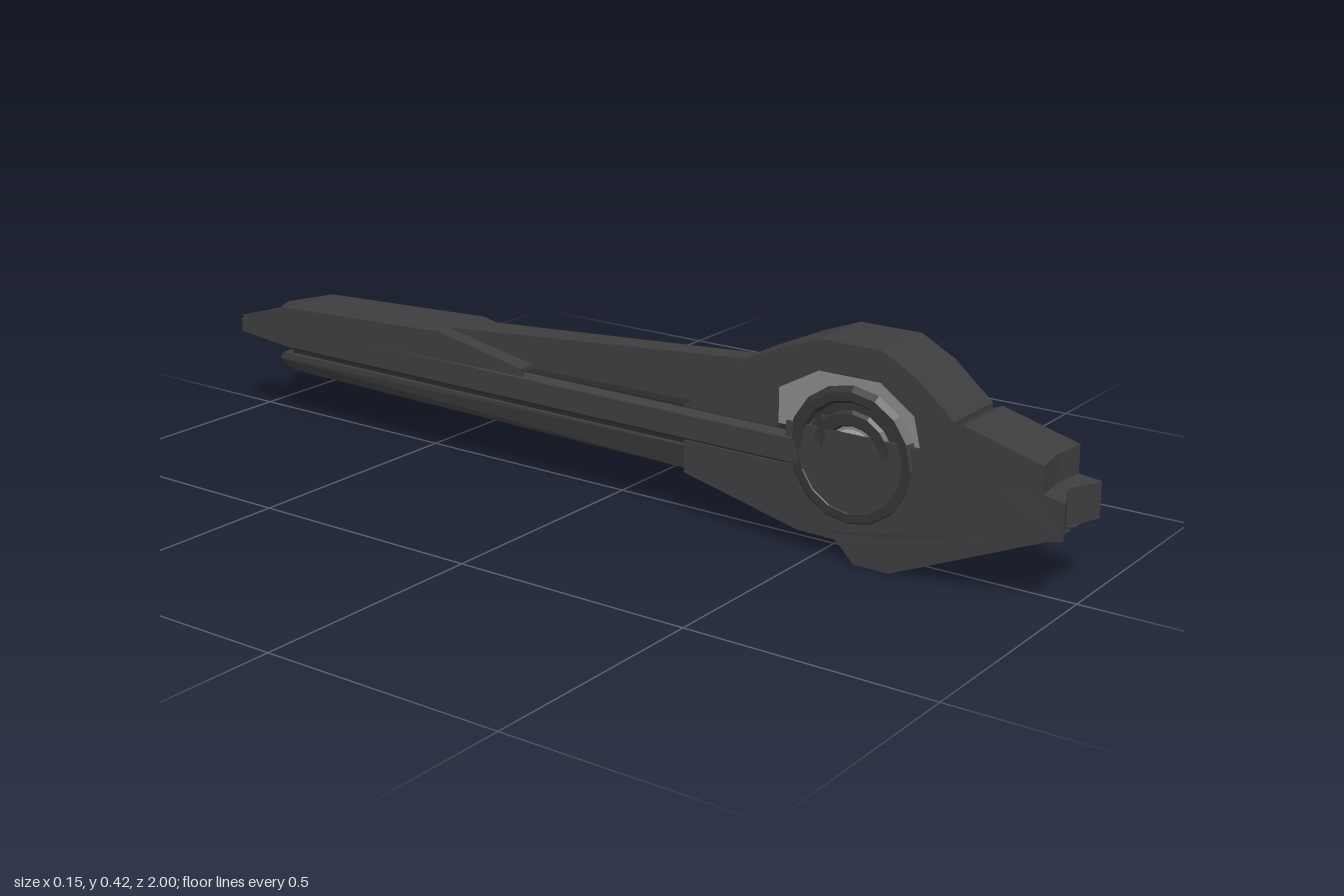
import * as THREE from 'three';

const W = 0.073; // half width of the whole arm
const dark = new THREE.MeshStandardMaterial({ color: 0x3e3e40, flatShading: true });
const black = new THREE.MeshStandardMaterial({ color: 0x2a2a2b, flatShading: true });
const grey = new THREE.MeshStandardMaterial({ color: 0x8a8a8a, flatShading: true });
const light = new THREE.MeshStandardMaterial({ color: 0xb4b4b4, flatShading: true });

// Plate with a side profile of [z, y] points, spanning x0..x1; rule may move its corners
function slab(profile, x0, x1, rule) {
  const shape = new THREE.Shape(profile.map(([z, y]) => new THREE.Vector2(-z, y)));
  const geo = new THREE.ExtrudeGeometry(shape, { depth: x1 - x0, bevelEnabled: false });
  geo.rotateY(Math.PI / 2).translate(x0, 0, 0);
  if (rule) {
    const p = geo.attributes.position;
    const v = new THREE.Vector3();
    for (let i = 0; i < p.count; i++) {
      v.fromBufferAttribute(p, i);
      rule(v, v.x < (x0 + x1) / 2);
      p.setXYZ(i, v.x, v.y, v.z);
    }
    geo.computeVertexNormals();
  }
  return geo;
}

export function createModel() {
  const model = new THREE.Group();
  const add = (name, geo, mat = dark) => {
    const mesh = new THREE.Mesh(geo, mat);
    mesh.name = name;
    model.add(mesh);
  };
  const addPair = (name, geo, mat = dark) => {
    for (const side of [1, -1]) {
      const mesh = new THREE.Mesh(geo, mat);
      mesh.name = (side > 0 ? 'left' : 'right') + name;
      mesh.scale.x = side;
      model.add(mesh);
    }
  };

  // Recessed inner body behind all the plates
  add('core', slab([
    [0.92, 0.2], [0.92, 0.15], [0.7, 0.06], [0.48, 0.06], [0.2, 0.12], [-0.86, 0.13],
    [-0.86, 0.225], [0.2, 0.232], [0.32, 0.31], [0.45, 0.36], [0.68, 0.36], [0.77, 0.28], [0.85, 0.23],
  ], -0.058, 0.058), black);

  // Raised cowl over the pivot, with an arch left open for the hub
  add('pivotCowl', slab([
    [0.78, 0.25], [0.78, 0.315], [0.7, 0.383], [0.63, 0.42], [0.5, 0.42], [0.42, 0.39], [0.31, 0.34],
    [0.2, 0.235], [0.41, 0.235], [0.41, 0.31], [0.5, 0.36], [0.63, 0.36], [0.7, 0.31], [0.715, 0.25],
  ], -W, W));

  // Light panel inside the arch
  addPair('ArchPanel', slab([
    [0.72, 0.24], [0.71, 0.312], [0.635, 0.364], [0.495, 0.364], [0.4, 0.314], [0.4, 0.24],
  ], 0.05, 0.064), grey);

  // Nose block above the front tip
  const frontNotch = (depth) => (v, inner) => { if (inner && v.z > 0.94) v.z -= depth; };
  addPair('NoseBlock', slab([
    [0.955, 0.215], [0.955, 0.27], [0.8, 0.312], [0.77, 0.3], [0.77, 0.2],
  ], 0, W, frontNotch(0.008)));

  // Cheeks around the hub, ending in the notched front tip
  addPair('Cheek', slab([
    [1, 0.21], [1, 0.14], [0.97, 0.134], [0.82, 0.092], [0.69, 0.037], [0.46, 0.04], [0.2, 0.1],
    [0.2, 0.165], [0.43, 0.165], [0.43, 0.25], [0.78, 0.25], [0.95, 0.217],
  ], 0, 0.07, (v, inner) => {
    frontNotch(0.03)(v, inner);
    if (!inner && v.z > 0.96) v.x = W;
  }));

  // Split chin: the gap between the halves widens downwards
  addPair('Chin', slab([
    [0.985, 0.14], [0.66, 0], [0.585, 0], [0.545, 0.04], [0.66, 0.06], [0.82, 0.11],
  ], 0.007, W, (v, inner) => { if (inner && v.y < 0.03) v.x = 0.025; }));

  // Tapering spine between the two top pockets
  add('spine', slab([[0.33, 0.339], [-0.43, 0.28], [-0.43, 0.2], [0.33, 0.2]], -0.02, 0.02,
    (v) => { v.x = Math.sign(v.x) * (0.024 + (0.3 - v.z) * 0.019); }));

  // Tail shell: centre strip dips into a V, outer strips reach the tip
  const tail = [[-0.42, 0.28], [-0.86, 0.26], [-1, 0.222], [-0.98, 0.215], [-0.2, 0.222], [-0.2, 0.238]];
  addPair('TailShellInner', slab(tail, 0, 0.032, (v, inner) => {
    if (v.z > -0.9) return;
    if (inner) { v.z = -0.93; v.y -= 0.012; } else v.z = Math.max(v.z, -0.98);
  }));
  addPair('TailShellOuter', slab(tail, 0.032, W, (v, inner) => {
    if (inner) v.z = Math.max(v.z, -0.98);
  }));

  // Long side rail, a ridge with sloped upper and lower faces
  const rail = [[0.46, 0.228], [0.46, 0.162], [-0.86, 0.162], [-1, 0.18], [-1, 0.222], [-0.86, 0.228]];
  addPair('SideRailRoot', slab(rail, 0, 0.06, (v, inner) => {
    if (v.z < -0.95) v.z = inner ? -0.93 : -0.99;
  }));
  addPair('SideRail', slab(rail, 0.06, W, (v, inner) => {
    if (!inner) v.y = 0.195 + (v.y - 0.195) * 0.7;
    else if (v.z < -0.95) v.z = -0.99;
  }));

  // Lower bar with chamfered bottom edges and an angled end
  add('lowerBar', slab([
    [0.3, 0.155], [0.3, 0.085], [0.18, 0.103], [-0.86, 0.114], [-0.89, 0.14], [-0.88, 0.155],
  ], -0.068, 0.068, (v) => { if (v.y < 0.12) v.x *= 0.8; }));

  // Pivot hub: stepped faceted disc with a bright ring on each side
  const lathe = (points, segments) => new THREE.LatheGeometry(
    points.map(([r, x]) => new THREE.Vector2(r, x)), segments,
  ).rotateZ(-Math.PI / 2).translate(0, 0.205, 0.57);
  addPair('Hub', lathe([
    [0.137, 0.03], [0.137, 0.064], [0.126, W], [0.11, W], [0.104, 0.064], [0.09, 0.064],
    [0.084, 0.07], [0.062, 0.07], [0.056, 0.06], [0, 0.06],
  ].reverse().map(([r, x]) => [r, x]).reverse(), 16), new THREE.MeshStandardMaterial({
    color: 0x343436, flatShading: true, side: THREE.DoubleSide,
  }));
  light.side = THREE.DoubleSide;
  addPair('HubRing', lathe([[0.052, 0.055], [0.052, 0.066], [0.033, 0.066], [0.033, 0.055]], 24), light);

  return model;
}
